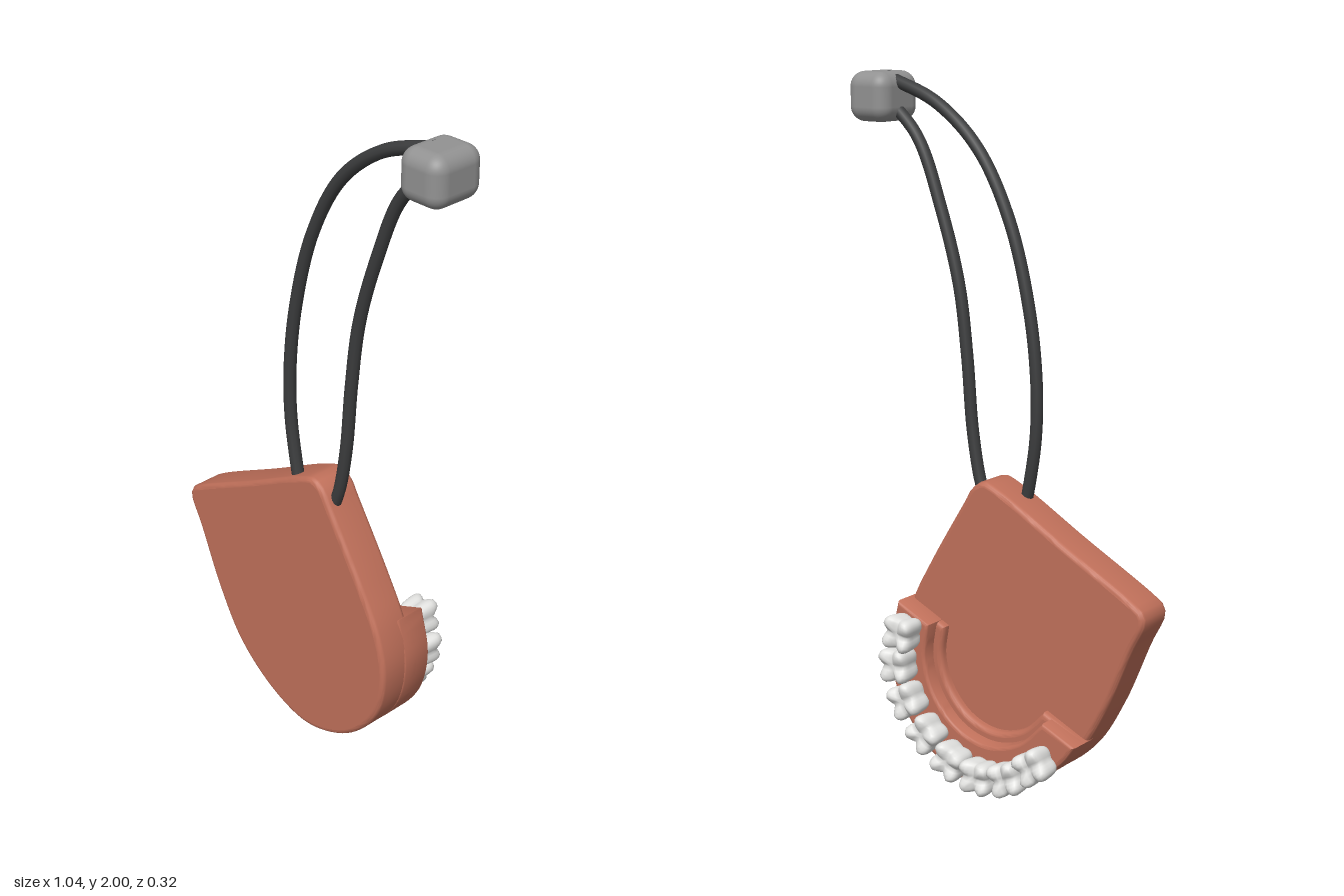
import * as THREE from 'three';
import { mergeVertices, toCreasedNormals } from 'three/addons/utils/BufferGeometryUtils.js';
import { RoundedBoxGeometry } from 'three/addons/geometries/RoundedBoxGeometry.js';

const mat = (name, color) => {
  const m = new THREE.MeshStandardMaterial({ color });
  m.name = name;
  return m;
};

const smooth = (pts, closed = false) =>
  new THREE.CatmullRomCurve3(pts.map(([x, y, z = 0]) => new THREE.Vector3(x, y, z)), closed);

const flat = (pts, closed, n) =>
  smooth(pts, closed).getSpacedPoints(n).map(p => new THREE.Vector2(p.x, p.y));

// Slab with rounded rims between two depths, with flat faces kept flat
function slab(outline, z0, z1, bevel) {
  const g = new THREE.ExtrudeGeometry(new THREE.Shape(outline), {
    depth: z1 - z0 - 2 * bevel, bevelThickness: bevel, bevelSize: bevel,
    bevelOffset: -bevel, bevelSegments: 4,
  });
  g.translate(0, 0, z0 + bevel);
  const out = toCreasedNormals(g, 0.7);
  const { position, normal } = out.attributes;
  const mid = (z0 + z1) / 2, caps = out.groups[0];
  for (let i = caps.start; i < caps.start + caps.count; i++) {
    normal.setXYZ(i, 0, 0, position.getZ(i) > mid ? 1 : -1);
  }
  out.clearGroups();
  return out;
}

// Molar crown: rounded block, pinched at the gum, with four cusps and a cross groove
function molar() {
  let g = new THREE.BoxGeometry(2, 2, 2, 10, 10, 8);
  g.deleteAttribute('uv');
  g.deleteAttribute('normal');
  g = mergeVertices(g, 1e-4);
  const p = g.attributes.position;
  for (let i = 0; i < p.count; i++) {
    let x = p.getX(i), y = p.getY(i), z = p.getZ(i);
    const k = 1 / Math.pow(x ** 4 + y ** 4 + z ** 4, 0.25);
    x *= k; y *= k; z *= k;
    const lobe = Math.min(1, 2 * Math.min(Math.abs(x), Math.abs(y)));
    const side = (0.86 + 0.16 * lobe) * (0.94 + 0.1 * z);
    if (z > 0) z *= 0.68 + 0.42 * lobe;
    p.setXYZ(i, x * side, y * side, z);
  }
  g.scale(0.051, 0.049, 0.046);
  g.rotateY(Math.PI);
  g.computeVertexNormals();
  return g;
}

export function createModel() {
  const model = new THREE.Group();
  const clay = mat('terracotta', 0xc0705a);
  const ivory = mat('tooth white', 0xe4e4e2);
  const black = mat('cord black', 0x3c3d3e);
  const grey = mat('bead grey', 0x929292);
  const add = (name, geometry, material, parent = model) => {
    const m = new THREE.Mesh(geometry, material);
    m.name = name;
    parent.add(m);
    return m;
  };

  // Shield-shaped plate, tilted
  const plate = flat([
    [-0.49, 0.632], [-0.25, 0.757], [-0.03, 0.873], [0.025, 0.89], [0.065, 0.865],
    [0.09, 0.825], [0.22, 0.615], [0.286, 0.49], [0.314, 0.36], [0.286, 0.217],
    [0.195, 0.095], [0.09, 0.03], [-0.03, 0.007], [-0.175, 0.055], [-0.307, 0.16],
    [-0.397, 0.307], [-0.48, 0.5], [-0.52, 0.585], [-0.515, 0.613],
  ], true, 110);
  add('plate', slab(plate, -0.02, 0.1, 0.015), clay);

  // Horseshoe gum ridge on the back, with a low step along its inside
  const outer = [
    [0.285, 0.505], [0.316, 0.36], [0.288, 0.217], [0.196, 0.095], [0.09, 0.028],
    [-0.03, 0.006], [-0.175, 0.053], [-0.3, 0.15], [-0.345, 0.21],
  ];
  const inner = [
    [-0.235, 0.255], [-0.15, 0.175], [-0.04, 0.142], [0.07, 0.17],
    [0.15, 0.25], [0.183, 0.35], [0.17, 0.455],
  ];
  const step = inner.map(([x, y]) => [x + (-0.03 - x) * 0.13, y + (0.36 - y) * 0.13]);
  const arch = inside => [...flat(outer, false, 44), ...flat(inside, false, 36)];
  add('gumRidge', slab(arch(inner), -0.085, 0.02, 0.012), clay);
  add('gumStep', slab(arch(step), -0.045, 0.02, 0.015), clay);

  // Eight molars following the ridge
  const teeth = new THREE.Group();
  teeth.name = 'teeth';
  model.add(teeth);
  const spots = [
    [0.235, 0.43], [0.25, 0.33], [0.215, 0.23], [0.145, 0.145],
    [0.055, 0.085], [-0.045, 0.063], [-0.15, 0.085], [-0.24, 0.145],
  ];
  const crown = molar();
  spots.forEach(([x, y], i) => {
    const a = spots[Math.max(0, i - 1)], b = spots[Math.min(7, i + 1)];
    const tooth = add('tooth', crown, ivory, teeth);
    tooth.position.set(x, y, -0.117);
    tooth.rotation.z = Math.atan2(b[1] - a[1], b[0] - a[0]);
  });

  // Two strands of the hanging cord
  const strands = [
    [[-0.06, 0.8, 0.065], [-0.08, 0.88, 0.062], [-0.103, 1.02, 0.06], [-0.105, 1.17, 0.06],
      [-0.08, 1.37, 0.06], [-0.01, 1.61, 0.062], [0.1, 1.8, 0.064], [0.25, 1.92, 0.068], [0.43, 1.985, 0.07]],
    [[0.075, 0.82, 0.06], [0.095, 0.88, 0.06], [0.12, 1.02, 0.06], [0.138, 1.22, 0.06],
      [0.168, 1.42, 0.062], [0.235, 1.63, 0.066], [0.32, 1.82, 0.07], [0.43, 1.925, 0.072]],
  ];
  strands.forEach(pts => add('cord', new THREE.TubeGeometry(smooth(pts), 64, 0.018, 10), black));

  // Rounded bead joining the strands
  const bead = add('bead', new RoundedBoxGeometry(0.142, 0.14, 0.168, 5, 0.042), grey);
  bead.position.set(0.45, 1.93, 0.074);

  return model;
}
